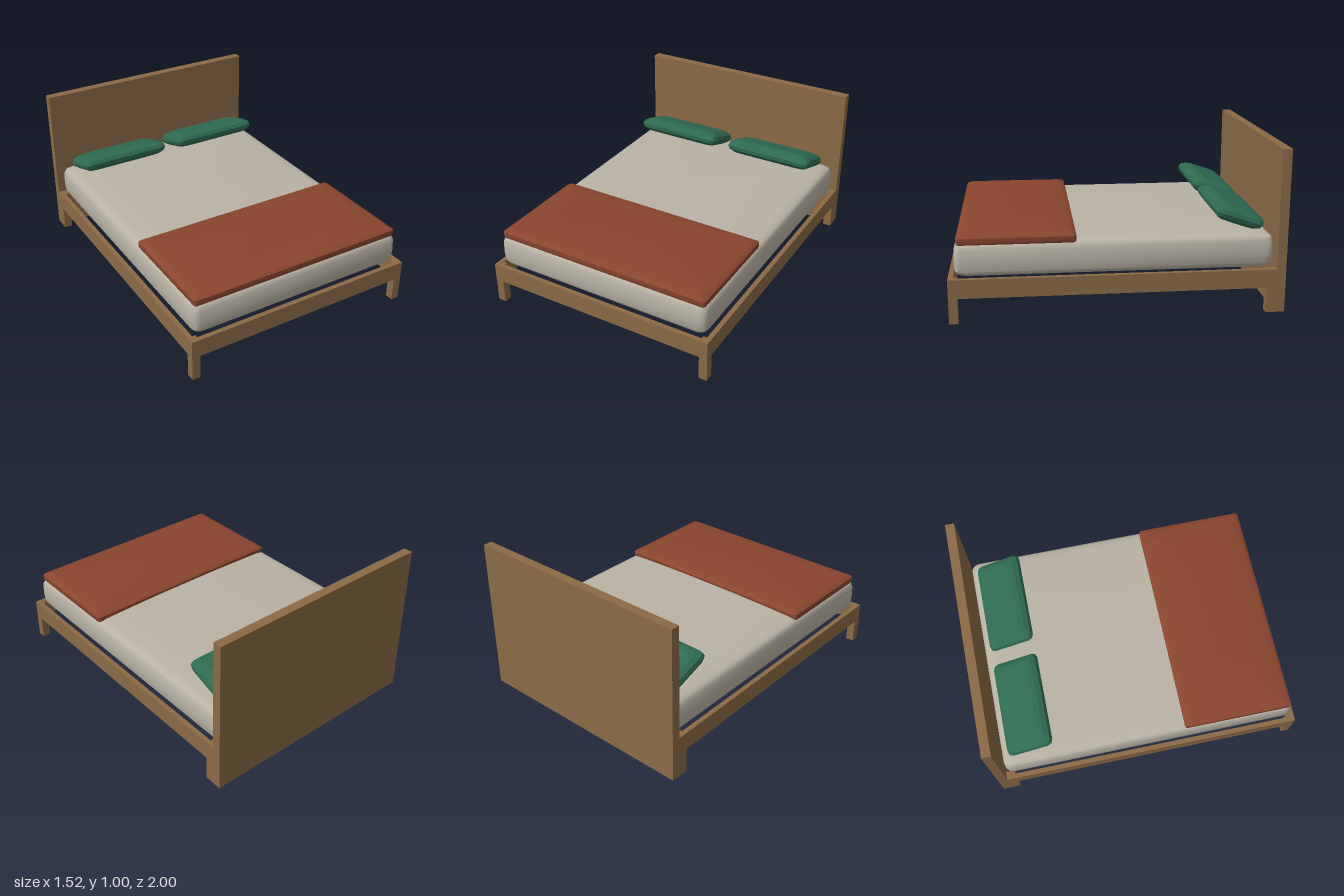
import * as THREE from 'three';
import { toCreasedNormals } from 'three/addons/utils/BufferGeometryUtils.js';

// Rounded rectangle ring at height y, going from +x towards +z
function ring(w, d, r, y, steps) {
  const pts = [];
  [[1, 1], [-1, 1], [-1, -1], [1, -1]].forEach(([sx, sz], q) => {
    for (let i = 0; i <= steps; i++) {
      const a = (q + i / steps) * Math.PI / 2;
      pts.push(new THREE.Vector3(
        sx * (w / 2 - r) + r * Math.cos(a), y, sz * (d / 2 - r) + r * Math.sin(a)));
    }
  });
  return pts;
}

// Soft slab: rings listed as [height, inset], bottom to top, closed at both ends
function softSlab(w, d, radius, profile, crease, steps = 3) {
  const rings = profile.map(([y, inset]) =>
    ring(w - 2 * inset, d - 2 * inset, radius, y, steps));
  const tris = [];
  const n = rings[0].length;
  const last = rings.length - 1;
  const bottom = new THREE.Vector3(0, profile[0][0], 0);
  const top = new THREE.Vector3(0, profile[last][0], 0);
  for (let j = 0; j < n; j++) {
    const k = (j + 1) % n;
    for (let i = 0; i < last; i++) {
      const a = rings[i][j], b = rings[i][k], c = rings[i + 1][k], e = rings[i + 1][j];
      tris.push(a, e, b, b, e, c);
    }
    tris.push(bottom, rings[0][j], rings[0][k], top, rings[last][k], rings[last][j]);
  }
  const geo = new THREE.BufferGeometry().setFromPoints(tris);
  geo.computeVertexNormals();
  return crease ? toCreasedNormals(geo, crease) : geo;
}

export function createModel() {
  const bed = new THREE.Group();
  bed.name = 'bed';
  const material = (name, color) => {
    const m = new THREE.MeshStandardMaterial({ color });
    m.name = name;
    return m;
  };
  const wood = material('wood', 0x8a6a46);
  const linen = material('linen', 0xb9b3a5);
  const green = material('green fabric', 0x2f6b51);
  const rust = material('rust fabric', 0x8a452f);

  const add = (name, geo, mat, x, y, z) => {
    const mesh = new THREE.Mesh(geo, mat);
    mesh.name = name;
    mesh.position.set(x, y, z);
    bed.add(mesh);
    return mesh;
  };
  const box = (name, x0, x1, y0, y1, z0, z1) =>
    add(name, new THREE.BoxGeometry(x1 - x0, y1 - y0, z1 - z0), wood,
      (x0 + x1) / 2, (y0 + y1) / 2, (z0 + z1) / 2);

  // Frame: headboard, rails and four corner legs
  box('headboard', -0.76, 0.76, 0, 1, -1, -0.943);
  box('frontRail', -0.73, 0.73, 0.155, 0.27, 0.97, 1);
  for (const s of [-1, 1]) {
    const side = s > 0 ? 'left' : 'right';
    const span = (a, b) => (s > 0 ? [a, b] : [-b, -a]);
    box(side + 'Rail', ...span(0.73, 0.76), 0.155, 0.27, -0.943, 1);
    box(side + 'FrontLeg', ...span(0.707, 0.76), 0, 0.268, 0.947, 1);
    box(side + 'BackLeg', ...span(0.707, 0.76), 0, 0.268, -0.943, -0.885);
  }

  // Mattress with a slightly crowned top
  add('mattress', softSlab(1.45, 1.9, 0.045, [
    [0.27, 0.035], [0.278, 0.018], [0.3, 0.004], [0.36, 0], [0.43, 0.003],
    [0.455, 0.012], [0.468, 0.03], [0.475, 0.07], [0.48, 0.25], [0.485, 0.5],
  ], 0.6), linen, 0, 0, 0.015);

  // Folded blanket over the foot end
  add('blanket', softSlab(1.42, 0.7, 0.018, [
    [0.46, 0.004], [0.468, 0], [0.5, 0], [0.51, 0.012], [0.518, 0.035], [0.523, 0.15],
  ], 0.5), rust, 0, 0, 0.598);

  // Two faceted pillows leaning towards the headboard
  const pillowGeo = softSlab(0.615, 0.31, 0.035, [
    [-0.052, 0.075], [-0.044, 0.04], [-0.024, 0.01], [0, 0],
    [0.024, 0.008], [0.043, 0.035], [0.052, 0.065],
  ], 0, 2);
  for (const [name, x] of [['leftPillow', 0.348], ['rightPillow', -0.362]]) {
    add(name, pillowGeo, green, x, 0.557, -0.742).rotation.x = -0.33;
  }
  return bed;
}
